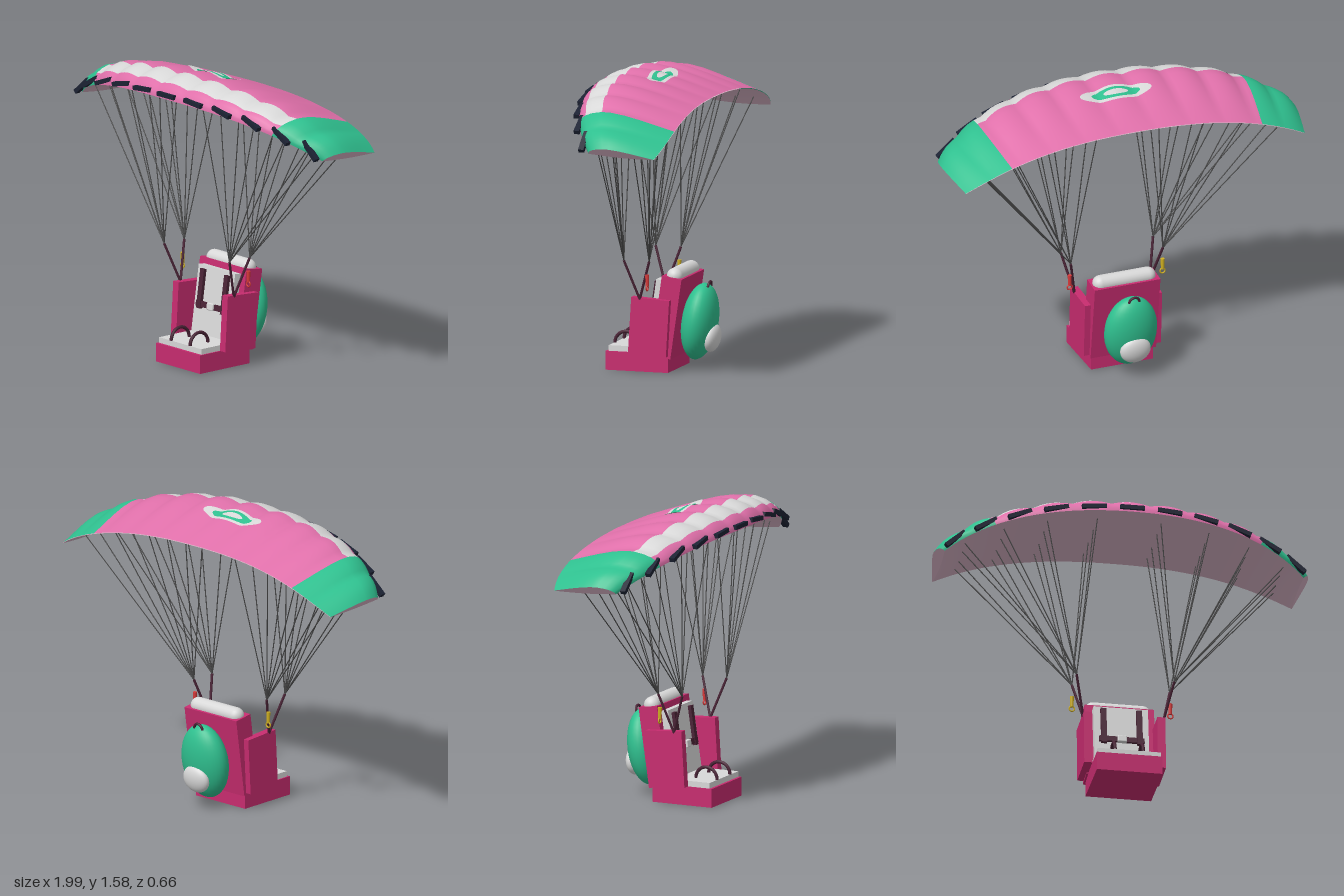
import * as THREE from 'three';
import { RoundedBoxGeometry } from 'three/addons/geometries/RoundedBoxGeometry.js';

const mat = (name, color, side = THREE.FrontSide) => {
  const m = new THREE.MeshStandardMaterial({ color, side });
  m.name = name;
  return m;
};
const D = THREE.DoubleSide;
const M = {
  magenta: mat('magenta', 0xc72c6f),
  pink: mat('pink', 0xe070aa, D),
  green: mat('green', 0x2fc08f, D),
  white: mat('pale grey', 0xd8d8d8, D),
  under: mat('pale pink', 0xd9b4c6, D),
  strap: mat('dark maroon', 0x4a2336),
  navy: mat('navy', 0x1c2233),
  line: mat('line grey', 0x4a4a4a),
  yellow: mat('yellow', 0xd0b020),
  red: mat('red', 0xd83a3a),
};

// Canopy rules: s counts cells from the middle (-5.5 to 5.5), f runs from nose to tail
const S = 5.5;
const F = [0, 0.004, 0.015, 0.04, 0.08, 0.15, 0.26, 0.36, 0.5, 0.66, 0.83, 1];
const H = [0, 0.02, 0.036, 0.058, 0.078, 0.1, 0.118, 0.118, 0.103, 0.075, 0.04, 0.004];
const noseZ = (a) => 0.32 - 0.25 * a * a;
const tailZ = (a) => -0.305 - 0.045 * a * a + 0.06 * a ** 6;
const tilt = (s) => Math.sign(s) * 0.8 * (Math.abs(s) / S) ** 1.3;

function canopyPoint(s, f, h) {
  const a = Math.abs(s) / S;
  const t = tilt(s);
  return new THREE.Vector3(
    0.2 * s - 0.00087 * s ** 3 + Math.sin(t) * h,
    1.45 - 0.19 * a ** 2.3 + 0.015 * (1 - f) + Math.cos(t) * h,
    noseZ(a) + (tailZ(a) - noseZ(a)) * f);
}
function topPoint(s, f, lift = 0) {
  const a = Math.abs(s) / S;
  let i = 0;
  while (i < F.length - 2 && f > F[i + 1]) i++;
  const h = THREE.MathUtils.mapLinear(f, F[i], F[i + 1], H[i], H[i + 1]);
  const puff = 0.82 + 0.18 * Math.abs(Math.cos(Math.PI * s));
  return canopyPoint(s, f, h * puff * (noseZ(a) - tailZ(a)) / 0.625 + lift);
}
const underPoint = (s, f) => canopyPoint(s, f, -0.01 * Math.sin(Math.PI * f));

// Grid surface; pick(i, j) gives the material index of each quad
function surface(nu, nv, fn, materials, pick = () => 0) {
  const pos = [], faces = materials.map(() => []);
  for (let i = 0; i <= nu; i++) for (let j = 0; j <= nv; j++) pos.push(...fn(i, j).toArray());
  for (let i = 0; i < nu; i++) for (let j = 0; j < nv; j++) {
    const a = i * (nv + 1) + j, b = a + nv + 1;
    faces[pick(i, j)].push(a, b, a + 1, b, b + 1, a + 1);
  }
  const g = new THREE.BufferGeometry();
  g.setAttribute('position', new THREE.Float32BufferAttribute(pos, 3));
  g.setIndex(faces.flat());
  let start = 0;
  faces.forEach((list, k) => { g.addGroup(start, list.length, k); start += list.length; });
  g.computeVertexNormals();
  return new THREE.Mesh(g, materials);
}

function add(parent, name, mesh, x = 0, y = 0, z = 0) {
  mesh.name = name;
  mesh.position.set(x, y, z);
  parent.add(mesh);
  return mesh;
}
const box = (w, h, d, m) => new THREE.Mesh(new THREE.BoxGeometry(w, h, d), m);
function rod(parent, name, a, b, r, m) {
  const dir = b.clone().sub(a);
  const mesh = new THREE.Mesh(new THREE.CylinderGeometry(r, r, dir.length(), 6), m);
  mesh.quaternion.setFromUnitVectors(new THREE.Vector3(0, 1, 0), dir.normalize());
  const c = a.clone().add(b).multiplyScalar(0.5);
  return add(parent, name, mesh, c.x, c.y, c.z);
}
function ellipsoid(rx, ry, rz, m) {
  return new THREE.Mesh(new THREE.SphereGeometry(1, 32, 20).scale(rx, ry, rz), m);
}

function buildCanopy() {
  const g = new THREE.Group();
  g.name = 'canopy';
  const cols = 88, rows = F.length - 1;
  const sAt = (i) => -S + i / 8;
  add(g, 'canopyTop', surface(cols, rows, (i, j) => topPoint(sAt(i), F[j]),
    [M.pink, M.white, M.green], (i, j) => {
      if (Math.abs(sAt(i + 0.5)) > 3.75) return 2;
      return F[j] >= 0.08 && F[j] < 0.26 ? 1 : 0;
    }));
  add(g, 'canopyUnderside', surface(cols, rows, (i, j) => underPoint(sAt(i), F[j]), [M.under]));
  for (const side of [-1, 1]) {
    add(g, 'tipRib', surface(1, rows, (i, j) =>
      (i ? topPoint : underPoint)(side * S, F[j]), [M.under]));
  }
  // Oval emblem following the top skin
  const rings = [0, 0.17, 0.35, 0.46, 0.57, 0.68, 0.84, 1];
  add(g, 'emblem', surface(64, 7, (i, j) => {
    const t = i / 64 * Math.PI * 2;
    const x = 0.193 * rings[j] * Math.cos(t);
    const z = -0.015 + 0.055 * rings[j] * Math.sin(t);
    const a = Math.abs(x) / 0.2 / S;
    return topPoint(x / 0.2, (noseZ(a) - z) / (noseZ(a) - tailZ(a)), 0.004);
  }, [M.white, M.green], (i, j) => (j >= 2 && j < 5 ? 1 : 0)));
  // Air intakes, one per cell
  for (let s = -5; s <= 5; s++) {
    const p = canopyPoint(s, 0.005, 0.022);
    add(g, 'airIntake', box(0.13, 0.023, 0.03, M.navy), p.x, p.y, p.z).rotation.z = -tilt(s);
  }
  return g;
}

function buildRigging() {
  const g = new THREE.Group();
  g.name = 'rigging';
  for (const side of [-1, 1]) {
    const foot = new THREE.Vector3(side * 0.212, 0.39, 0.038);
    const tops = [0.11, -0.03].map((z) => new THREE.Vector3(side * 0.26, 0.6, z));
    tops.forEach((top) => rod(g, 'riser', foot, top, 0.007, M.strap));
    for (const s of [0.85, 2.2, 3.45, 4.7]) {
      [0.15, 0.35, 0.6, 0.82].forEach((f, k) =>
        rod(g, 'suspensionLine', tops[k >> 1], underPoint(side * s, f), 0.003, M.line));
    }
    // Steering toggle with a pull ring
    const m = side > 0 ? M.red : M.yellow;
    add(g, 'toggleGrip', new THREE.Mesh(new THREE.CylinderGeometry(0.011, 0.009, 0.06, 12), m),
      side * 0.262, 0.5, -0.02);
    add(g, 'toggleRing', new THREE.Mesh(new THREE.TorusGeometry(0.014, 0.004, 8, 20), m),
      side * 0.262, 0.46, -0.02);
  }
  return g;
}

function buildSeat() {
  const g = new THREE.Group();
  g.name = 'seat';
  add(g, 'seatBase', box(0.35, 0.1, 0.345, M.magenta), 0, 0.05, 0.0675);
  add(g, 'seatCushion', box(0.335, 0.03, 0.25, M.white), 0, 0.115, 0.1);
  for (const side of [-1, 1]) {
    add(g, 'sidePanel', box(0.043, 0.3, 0.21, M.magenta), side * 0.196, 0.245, -0.012).rotation.x = -0.06;
    const hoop = new THREE.Mesh(new THREE.TorusGeometry(0.062, 0.009, 8, 24, Math.PI), M.strap);
    add(g, 'legLoop', hoop, side * 0.075, 0.13, 0.16).rotation.y = Math.PI / 2;
  }

  // Leaning backrest with pad, harness, headrest and pack
  const back = new THREE.Group();
  add(g, 'backrest', back, 0, 0.295, -0.098).rotation.x = -0.145;
  add(back, 'backFrame', box(0.37, 0.43, 0.11, M.magenta));
  add(back, 'backPad', box(0.29, 0.36, 0.04, M.white), 0, 0.003, 0.075);
  const head = new THREE.Mesh(new THREE.CapsuleGeometry(0.043, 0.265, 8, 20), M.white);
  add(back, 'headrest', head, 0, 0.218, 0).rotation.z = Math.PI / 2;
  for (const side of [-1, 1]) {
    add(back, 'shoulderStrap', box(0.03, 0.21, 0.018, M.strap), side * 0.095, 0.06, 0.104);
  }
  add(back, 'waistStrap', box(0.24, 0.03, 0.014, M.strap), 0, -0.02, 0.102);
  add(back, 'buckle', new THREE.Mesh(new RoundedBoxGeometry(0.05, 0.04, 0.024, 2, 0.006), M.white),
    0, -0.02, 0.108);
  add(back, 'pack', ellipsoid(0.145, 0.205, 0.092, M.green), 0, -0.021, -0.13);
  add(back, 'packPouch', ellipsoid(0.085, 0.075, 0.04, M.white), 0, -0.095, -0.21);
  add(back, 'packHandle', new THREE.Mesh(new THREE.TorusGeometry(0.028, 0.007, 8, 20, Math.PI), M.strap),
    0, 0.17, -0.155);
  return g;
}

export function createModel() {
  const model = new THREE.Group();
  model.name = 'paraglider';
  model.add(buildCanopy(), buildRigging(), buildSeat());
  return model;
}
